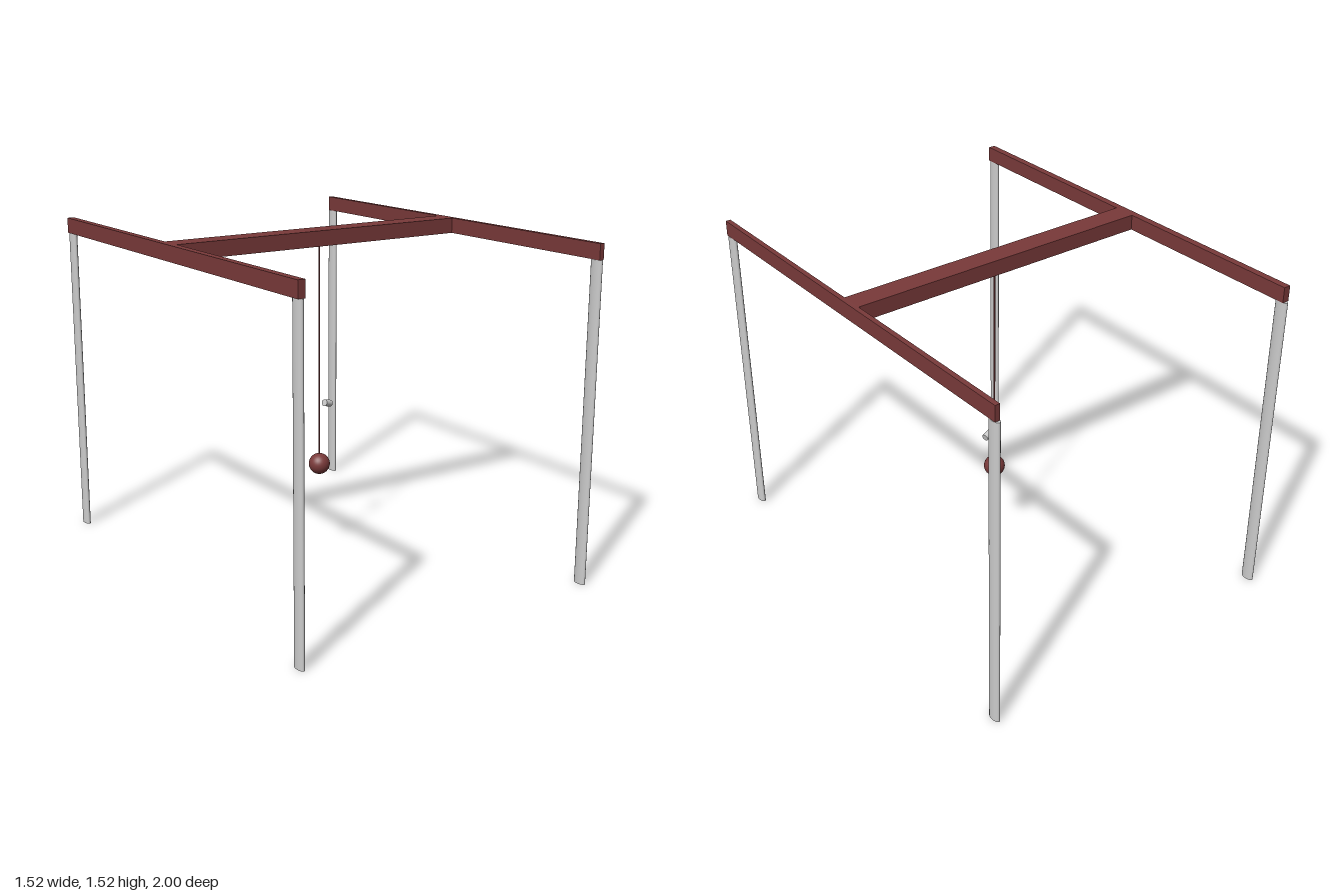
import * as THREE from 'three';

const grey = new THREE.MeshStandardMaterial({ color: 0xcccccc });
const red = new THREE.MeshStandardMaterial({ color: 0x7a3a3a });

export function createModel() {
  const model = new THREE.Group();

  const add = (name, geometry, material, x, y, z) => {
    const mesh = new THREE.Mesh(geometry, material);
    mesh.name = name;
    mesh.position.set(x, y, z);
    model.add(mesh);
    return mesh;
  };

  // Box given by its minimum and maximum corners
  const addBox = (name, [x0, y0, z0], [x1, y1, z1]) =>
    add(name, new THREE.BoxGeometry(x1 - x0, y1 - y0, z1 - z0), red,
      (x0 + x1) / 2, (y0 + y1) / 2, (z0 + z1) / 2);

  const railBottom = 1.45, railTop = 1.52;

  // Four oval legs
  const legGeometry = new THREE.CylinderGeometry(1, 1, railBottom, 32);
  legGeometry.scale(0.0145, 1, 0.031);
  for (const [side, x] of [['right', -0.746], ['left', 0.744]]) {
    for (const [end, z] of [['Front', 0.969], ['Back', -0.967]]) {
      add(side + end + 'Leg', legGeometry, grey, x, railBottom / 2, z);
    }
  }

  // Side rails and the wide cross beam joining them
  addBox('rightRail', [-0.764, railBottom, -0.985], [-0.731, railTop, 0.995]);
  addBox('leftRail', [0.733, railBottom, -0.985], [0.756, railTop, 0.995]);
  addBox('crossBeam', [-0.731, railBottom, -0.07], [0.733, railTop, 0.035]);

  // Hanging ball on its cord
  const ballY = 0.427, cordLength = railBottom - ballY;
  add('cord', new THREE.CylinderGeometry(0.004, 0.004, cordLength, 12), red,
    0.009, ballY + cordLength / 2, -0.01);
  add('ball', new THREE.SphereGeometry(0.049, 32, 20), red, 0.009, ballY, -0.01);

  // Small tilted cylinder floating beside the cord
  const peg = add('smallCylinder', new THREE.CylinderGeometry(0.016, 0.016, 0.041, 24),
    grey, 0.113, 0.683, -0.097);
  peg.quaternion.setFromUnitVectors(new THREE.Vector3(0, 1, 0),
    new THREE.Vector3(0.93, -0.25, -0.23).normalize());

  return model;
}
